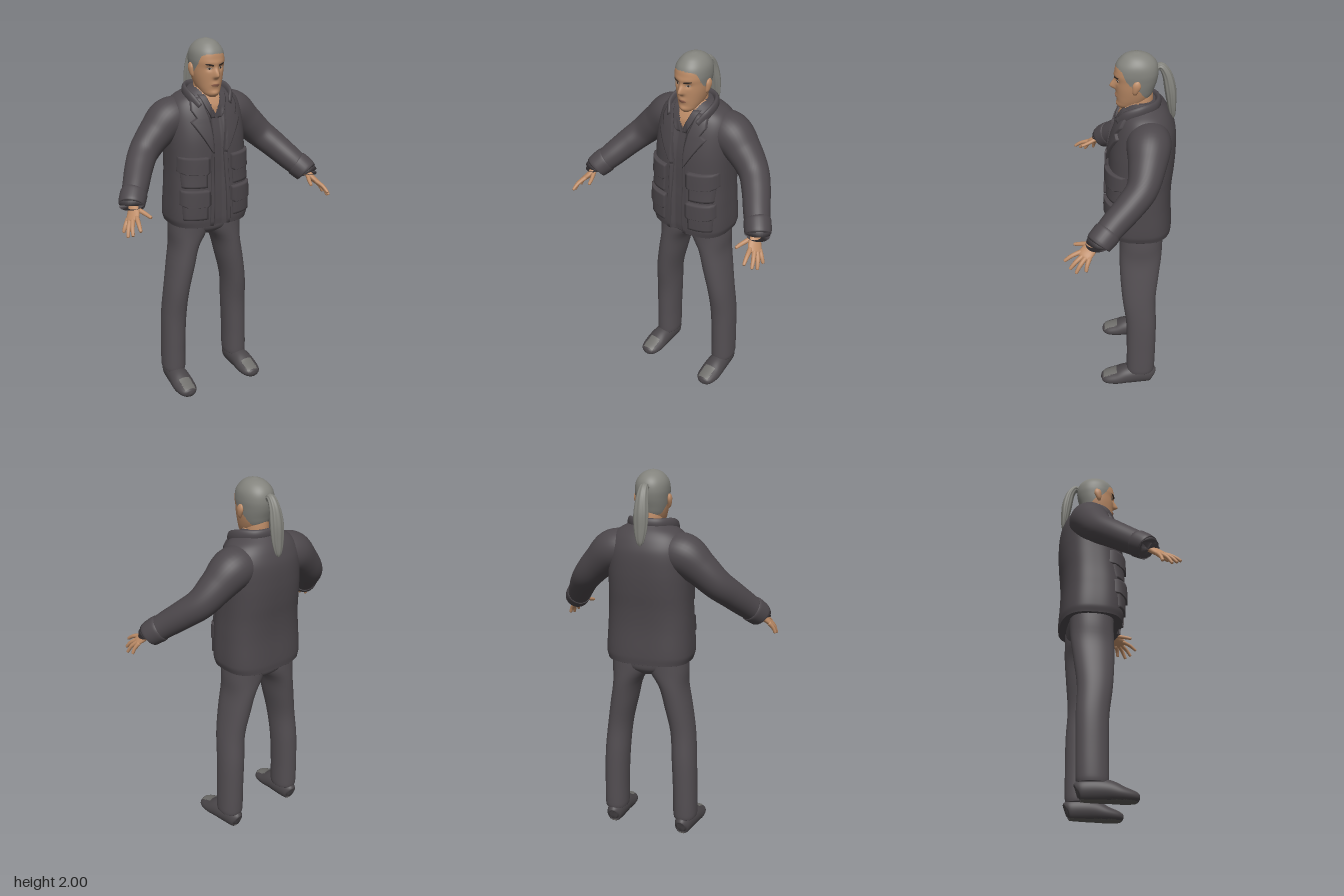
import * as THREE from 'three';

const mat = (name, color, side = THREE.FrontSide) => {
  const m = new THREE.MeshStandardMaterial({ color, side });
  m.name = name;
  return m;
};
const M = {
  jacket: mat('jacket cloth', 0x4c474b, THREE.DoubleSide),
  trousers: mat('trouser cloth', 0x544f53),
  shoe: mat('shoe leather', 0x4a4649),
  toe: mat('toe grey', 0x706f6c),
  sole: mat('sole grey', 0x5c5a57),
  skin: mat('skin', 0xbd8c67),
  hair: mat('grey hair', 0x83837d),
  dark: mat('brow dark', 0x3a302b),
  eye: mat('eye white', 0xa89d92),
  lip: mat('lip', 0x94634f),
};
const V = (x, y, z) => new THREE.Vector3(x, y, z);
const { clamp, lerp } = THREE.MathUtils;
const gauss = (v, s) => Math.exp(-((v / s) ** 2));

// Joins rings of points into a mesh; paint picks a material index per triangle centre
function skinRings(name, mats, rings, closed = true, paint = () => 0) {
  const list = [].concat(mats), n = rings[0].length, pts = rings.flat();
  const sets = list.map(() => []);
  const tri = (a, b, c) => {
    const mid = V(0, 0, 0).add(pts[a]).add(pts[b]).add(pts[c]).divideScalar(3);
    sets[paint(mid)].push(a, b, c);
  };
  for (let i = 0; i < rings.length - 1; i++) {
    for (let j = 0; j < (closed ? n : n - 1); j++) {
      const k = (j + 1) % n, a = i * n + j, b = a + n, c = i * n + k, d = c + n;
      tri(a, b, c);
      tri(b, d, c);
    }
  }
  const g = new THREE.BufferGeometry().setFromPoints(pts);
  g.setIndex(sets.flat());
  let start = 0;
  sets.forEach((s, i) => { g.addGroup(start, s.length, i); start += s.length; });
  g.computeVertexNormals();
  const mesh = new THREE.Mesh(g, list.length > 1 ? list : list[0]);
  mesh.name = name;
  return mesh;
}

// Close both ends of a stack of rings
function capped(rings) {
  const end = r => {
    const c = r.reduce((s, p) => s.add(p), V(0, 0, 0)).divideScalar(r.length);
    return r.map(() => c.clone());
  };
  return [end(rings[0]), ...rings, end(rings[rings.length - 1])];
}

// Smooth interpolation of table rows, whose first entry is the height
function rowAt(rows, y) {
  let i = 0;
  while (i < rows.length - 2 && y > rows[i + 1][0]) i++;
  const A = rows[i], B = rows[i + 1], P = rows[i - 1] || A, N = rows[i + 2] || B;
  const h = B[0] - A[0], t = clamp((y - A[0]) / h, 0, 1);
  return A.map((a, k) => {
    const m0 = (B[k] - P[k]) / (B[0] - P[0]) * h, m1 = (N[k] - a) / (N[0] - A[0]) * h;
    const t2 = t * t, t3 = t2 * t;
    return (2 * t3 - 3 * t2 + 1) * a + (t3 - 2 * t2 + t) * m0 + (3 * t2 - 2 * t3) * B[k] + (t3 - t2) * m1;
  });
}

// Upright body from rows [y, half width, front z, back z, squareness, centre x]
function upright(name, mats, body, nY, nA, paint) {
  const { rows, bump = () => 0 } = body, y0 = rows[0][0], y1 = rows[rows.length - 1][0], rings = [];
  for (let i = 0; i <= nY; i++) {
    const y = lerp(y0, y1, (1 - Math.cos(Math.PI * i / nY)) / 2);
    const [, rx, zf, zb, e, cx] = rowAt(rows, y), d = (zf - zb) / 2, ring = [];
    for (let j = 0; j < nA; j++) {
      const a = j / nA * Math.PI * 2, c = Math.cos(a), s = Math.sin(a);
      const r = (Math.abs(c / rx) ** e + Math.abs(s / d) ** e) ** (-1 / e);
      ring.push(V(cx + r * c, y, (zf + zb) / 2 + r * s + (s > 0 ? bump(r * c, y) : 0)));
    }
    rings.push(ring);
  }
  return skinRings(name, mats, capped(rings), true, paint);
}

// Front surface depth of an upright body
function frontZ({ rows, bump = () => 0 }, x, y) {
  const [, rx, zf, zb, e] = rowAt(rows, y);
  return (zf + zb) / 2 + (zf - zb) / 2 * Math.max(0, 1 - Math.abs(x / rx) ** e) ** (1 / e) + bump(x, y);
}

// Raised panel lying on a body's front; rows are [y, inner x, outer x]
function drape(name, m, body, lift, rows, n = 14, cols = 10) {
  const rings = [];
  for (let i = -1; i <= n + 1; i++) {
    const f = clamp(i / n, 0, 1) * (rows.length - 1), k = Math.min(Math.floor(f), rows.length - 2);
    const [y, x0, x1] = rows[k].map((v, q) => lerp(v, rows[k + 1][q], f - k)), ring = [];
    for (let j = -1; j <= cols + 1; j++) {
      const x = lerp(x1, x0, clamp(j / cols, 0, 1));
      const edge = i < 0 || i > n || j < 0 || j > cols;
      ring.push(V(x, y, frontZ(body, x, y) + (edge ? -0.006 : lift)));
    }
    rings.push(ring);
  }
  return skinRings(name, m, rings, false);
}

// Oval tube through points [x, y, z, radius along ref, other radius]
function tube(name, mats, path, ref, { n = 24, nA = 20, shape = p => p, ripple = 0, paint } = {}) {
  const rows = path.map((p, i) => [i, ...p]), rings = [];
  const at = t => rowAt(rows, clamp(t, 0, path.length - 1));
  for (let i = 0; i <= n; i++) {
    const t = i / n * (path.length - 1), [, x, y, z, ra, rb] = at(t), a = at(t - 0.05), b = at(t + 0.05);
    const T = V(b[1] - a[1], b[2] - a[2], b[3] - a[3]).normalize();
    const U = V(...ref).addScaledVector(T, -T.dot(V(...ref))).normalize(), W = U.clone().cross(T);
    rings.push(Array.from({ length: nA }, (_, j) => {
      const q = j / nA * Math.PI * 2, k = 1 + ripple * Math.cos(q * 8);
      return shape(V(x, y, z).addScaledVector(U, Math.cos(q) * ra * k).addScaledVector(W, Math.sin(q) * rb * k));
    }));
  }
  return skinRings(name, mats, capped(rings), true, paint);
}

// Mirrored copy across x = 0
function mirrored(mesh) {
  const g = mesh.geometry.clone().scale(-1, 1, 1), ix = g.index.array;
  for (let i = 0; i < ix.length; i += 3) [ix[i], ix[i + 1]] = [ix[i + 1], ix[i]];
  g.computeVertexNormals();
  const copy = new THREE.Mesh(g, mesh.material);
  copy.name = mesh.name.replace('left', 'right');
  return copy;
}

const torso = {
  rows: [
    [1.01, .225, .072, -.268, 2.8, 0], [1.05, .235, .076, -.27, 2.8, 0], [1.2, .228, .076, -.262, 2.8, 0],
    [1.3, .222, .072, -.265, 2.7, 0], [1.4, .22, .07, -.275, 2.6, 0], [1.5, .22, .062, -.28, 2.5, 0],
    [1.6, .215, .04, -.275, 2.4, 0], [1.66, .2, .02, -.255, 2.3, 0], [1.7, .168, .002, -.23, 2.2, 0],
    [1.73, .115, -.018, -.2, 2, 0], [1.75, .075, -.035, -.175, 2, 0]],
  // open front showing the shirt
  bump: (x, y) => -0.016 * clamp((0.04 - Math.abs(x)) / 0.012, 0, 1) * clamp((1.66 - y) / 0.06, 0, 1),
};
const head = {
  rows: [
    [1.705, .02, .012, -.04, 2.1, 0], [1.72, .043, .022, -.08, 2.1, 0], [1.745, .058, .024, -.12, 2.2, 0],
    [1.78, .07, .027, -.15, 2.2, 0], [1.82, .079, .03, -.165, 2.2, 0], [1.86, .084, .032, -.177, 2.2, 0],
    [1.9, .087, .035, -.182, 2.2, 0], [1.94, .082, .028, -.176, 2.1, 0], [1.97, .065, .006, -.155, 2, 0],
    [1.99, .04, -.022, -.122, 2, 0], [2, .01, -.06, -.085, 2, 0]],
  // nose, eye sockets, brow, lips and chin
  bump: (x, y) => 0.031 * gauss(x, 0.014) * gauss(y - 1.82, y < 1.82 ? 0.013 : 0.035)
    - 0.008 * gauss(Math.abs(x) - 0.033, 0.016) * gauss(y - 1.858, 0.013)
    + 0.004 * gauss(x, 0.06) * gauss(y - 1.885, 0.014)
    + 0.006 * gauss(x, 0.022) * gauss(y - 1.775, 0.014) + 0.006 * gauss(x, 0.025) * gauss(y - 1.728, 0.014),
};
// hairline as [z, y]
const hairline = [[-.2, 1.77], [-.12, 1.78], [-.09, 1.82], [-.05, 1.845], [-.02, 1.88], [0, 1.92], [.04, 1.935]];

export function createModel() {
  const model = new THREE.Group();
  model.name = 'standing man';
  const add = (...m) => model.add(...m);
  const pair = mesh => add(mesh, mirrored(mesh));

  // Head, neck and hair
  add(upright('head', [M.skin, M.hair], head, 90, 128, p => (p.y > rowAt(hairline, p.z)[1] ? 1 : 0)));
  add(upright('neck', M.skin, { rows: [[1.6, .065, -.03, -.15, 2, 0], [1.7, .06, -.028, -.155, 2, 0],
    [1.76, .058, -.03, -.158, 2, 0], [1.8, .05, -.05, -.155, 2, 0]] }, 12, 32));
  add(tube('ponytail', M.hair, [[0, 1.91, -.165, .018, .016], [0, 1.925, -.195, .022, .018],
    [0, 1.88, -.225, .03, .024], [0, 1.8, -.243, .038, .028], [0, 1.72, -.252, .034, .022],
    [0, 1.66, -.258, .02, .014], [0, 1.635, -.26, .005, .004]], [1, 0, 0], { n: 40, nA: 48, ripple: 0.06 }));
  pair(tube('left ear', M.skin, [[.084, 1.808, -.064, .004, .008], [.088, 1.825, -.066, .01, .014],
    [.092, 1.855, -.073, .011, .021], [.091, 1.875, -.076, .007, .014], [.088, 1.88, -.076, .002, .004]], [1, 0, 0]));
  pair(drape('left eye', M.eye, head, .002, [[1.853, .027, .038], [1.858, .02, .046], [1.863, .028, .04]]));
  pair(drape('left iris', M.dark, head, .004, [[1.853, .031, .035], [1.858, .028, .038], [1.863, .03, .036]]));
  pair(drape('left eyebrow', M.dark, head, .003, [[1.871, .016, .02], [1.877, .015, .05], [1.883, .035, .056]]));
  add(drape('mouth', M.lip, head, .002, [[1.764, -.012, .012], [1.771, -.025, .025], [1.778, -.012, .012]]));

  // Jacket body, with skin at the open neck
  add(upright('jacket body', [M.jacket, M.skin], torso, 80, 128,
    p => (p.z > -0.09 && p.y > 1.62 && Math.abs(p.x) < (p.y - 1.62) * 0.5 ? 1 : 0)));
  pair(drape('left front edge', M.jacket, torso, .008, [[1.015, .042, .062], [1.2, .038, .058], [1.44, .028, .046]]));
  pair(drape('left lapel', M.jacket, torso, .014, [[1.42, .028, .04], [1.505, .036, .092], [1.59, .045, .146],
    [1.61, .05, .115], [1.65, .06, .136], [1.71, .075, .125]], 30));
  pair(drape('left shirt collar', M.jacket, torso, .01, [[1.6, .006, .03], [1.66, .025, .058], [1.72, .045, .08]]));
  add(tube('jacket collar', M.jacket, [[.09, 1.665, .02, .018, .01], [.118, 1.705, -.03, .03, .014],
    [.115, 1.73, -.1, .032, .015], [.07, 1.737, -.165, .03, .015], [0, 1.74, -.185, .028, .015],
    [-.07, 1.737, -.165, .03, .015], [-.115, 1.73, -.1, .032, .015], [-.118, 1.705, -.03, .03, .014],
    [-.09, 1.665, .02, .018, .01]], [0, 1, 0], { n: 64 }));

  // Four flapped pockets
  for (const [kind, top] of [['chest', 1.405], ['hip', 1.225]]) {
    pair(drape(`left ${kind} pocket`, M.jacket, torso, .013, [[top - .165, .08, .2], [top - .01, .075, .205]]));
    pair(drape(`left ${kind} flap`, M.jacket, torso, .024,
      [[top - .09, .08, .19], [top - .08, .068, .212], [top, .068, .208]]));
  }

  // Sleeves and cuffs
  pair(tube('left sleeve', M.jacket, [[.08, 1.6, -.13, .09, .1], [.19, 1.585, -.135, .11, .112],
    [.28, 1.515, -.125, .092, .095], [.36, 1.437, -.1, .08, .08], [.42, 1.375, -.04, .074, .074],
    [.48, 1.305, .04, .068, .068], [.53, 1.25, .1, .06, .062]], [0, 1, 0], { n: 48, nA: 36 }));
  pair(tube('left cuff', M.jacket, [[.5, 1.283, .064, .064, .064], [.507, 1.276, .072, .07, .07],
    [.536, 1.244, .108, .066, .068], [.54, 1.239, .113, .058, .06]], [0, 1, 0], { nA: 32 }));

  // Hands: palm and digits
  pair(tube('left palm', M.skin, [[.51, 1.265, .08, .026, .022], [.535, 1.238, .125, .027, .02],
    [.553, 1.208, .16, .037, .017], [.572, 1.187, .183, .036, .013], [.575, 1.182, .187, .02, .006]], [.035, -.02, -.05]));
  const digits = {
    thumb: [[.53, 1.23, .14], [.503, 1.212, .195], [.489, 1.2, .235]],
    'index finger': [[.55, 1.203, .19], [.562, 1.185, .24], [.57, 1.157, .28]],
    'middle finger': [[.565, 1.195, .18], [.588, 1.165, .222], [.6, 1.13, .252]],
    'ring finger': [[.575, 1.188, .17], [.6, 1.155, .2], [.614, 1.115, .222]],
    'little finger': [[.58, 1.185, .155], [.602, 1.155, .167], [.615, 1.125, .172]],
  };
  for (const [kind, [a, b, c]] of Object.entries(digits)) {
    const tip = c.map((v, i) => lerp(b[i], v, 0.9));
    pair(tube(`left ${kind}`, M.skin, [[...a, .013, .012], [...b, .011, .01], [...tip, .008, .008],
      [...c, .002, .002]], [1, 0, -1], { n: 14, nA: 12 }));
  }

  // Trousers
  add(upright('trouser seat', M.trousers, { rows: [[.93, .06, -.03, -.18, 2, 0], [.96, .15, .005, -.215, 2.4, 0],
    [1.0, .2, .015, -.225, 2.6, 0], [1.06, .205, .02, -.23, 2.6, 0]] }, 16, 48));
  pair(upright('left trouser leg', M.trousers, { rows: [
    [.09, .062, -.032, -.188, 2.2, .207], [.11, .065, -.03, -.192, 2.2, .207], [.25, .065, -.03, -.195, 2.2, .205],
    [.44, .067, -.026, -.196, 2.2, .198], [.6, .066, -.005, -.19, 2.2, .185], [.75, .071, .008, -.205, 2.2, .157],
    [.865, .076, .012, -.218, 2.2, .133], [.95, .103, .013, -.222, 2.3, .107], [1.04, .105, .015, -.225, 2.4, .1]] }, 40, 40));

  // Shoes with grey toe patches and flat soles
  pair(tube('left shoe', [M.shoe, M.toe, M.sole], [[.205, .045, -.188, .02, .03], [.206, .05, -.17, .042, .054],
    [.208, .054, -.1, .054, .062], [.212, .05, -.03, .06, .058], [.214, .036, .03, .063, .045],
    [.214, .028, .085, .054, .033], [.213, .025, .112, .034, .023], [.213, .024, .122, .008, .006]], [1, 0, 0], {
    n: 48, nA: 48, shape: p => p.setY(Math.max(p.y, 0)),
    paint: p => (p.y < 0.006 ? 2 : p.y > 0.03 && p.z > 0.03 && p.z < 0.108 && Math.abs(p.x - 0.212) < 0.034 ? 1 : 0),
  }));
  return model;
}
